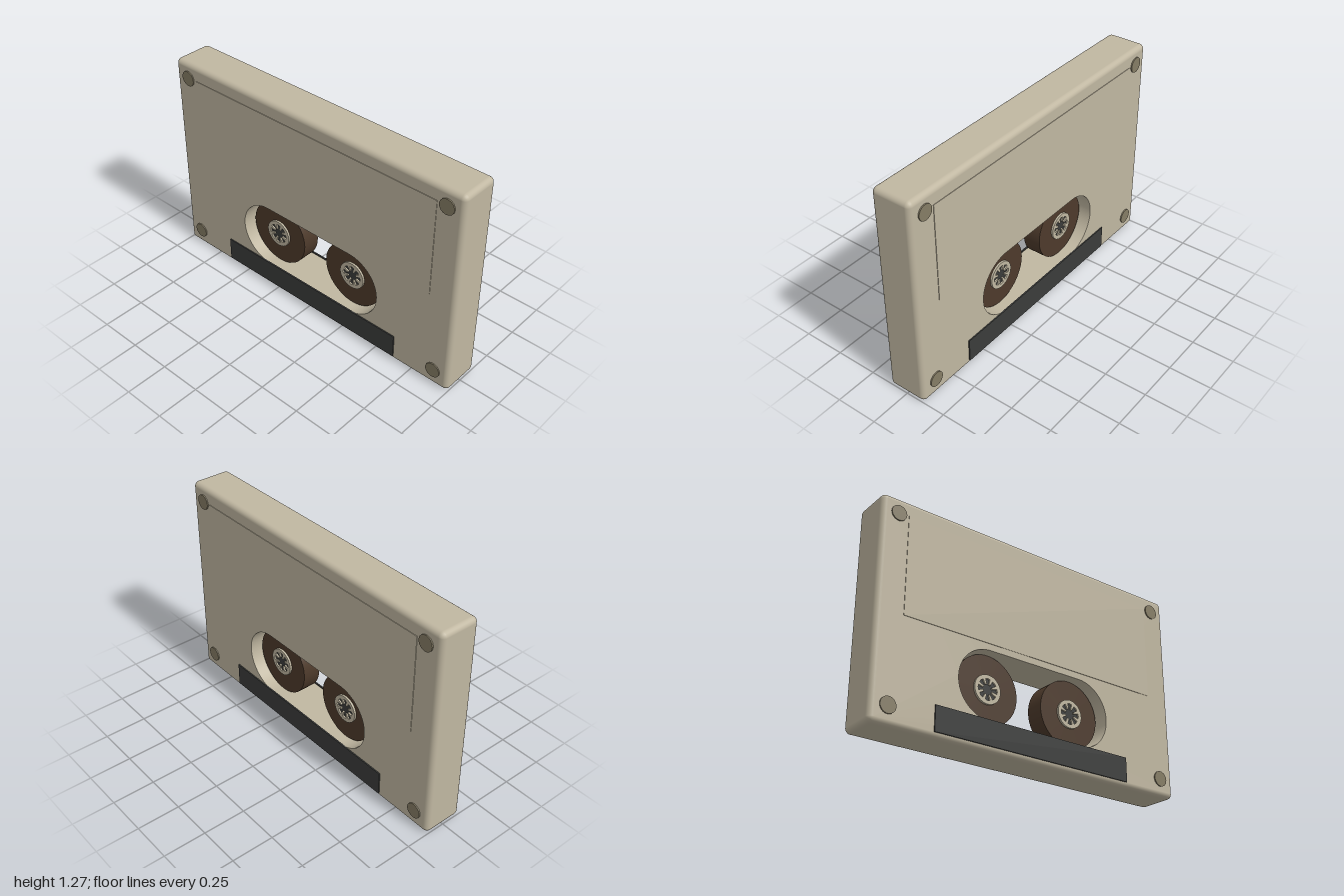
import * as THREE from 'three';

const W = 2, H = 1.27, D = 0.24, R = 0.03;

const mat = (name, color) => new THREE.MeshStandardMaterial({ name, color });

// Rounded edge band: a half-round profile carried around the outline, with ball corners
function rimGeometry() {
  const profile = [], pos = [], nor = [], idx = [], steps = 6;
  for (const s of [1, -1]) {
    for (let i = 0; i <= steps; i++) {
      const a = (s > 0 ? 1 - i / steps : i / steps) * Math.PI / 2;
      profile.push([R * Math.cos(a), s * (D / 2 - R + R * Math.sin(a)), Math.cos(a), s * Math.sin(a)]);
    }
  }
  const outline = [];
  [[1, 1], [-1, 1], [-1, -1], [1, -1]].forEach(([sx, sy], q) => {
    for (let i = 0; i <= steps; i++) {
      const a = (q + i / steps) * Math.PI / 2;
      outline.push([sx * (W / 2 - R), H / 2 + sy * (H / 2 - R), Math.cos(a), Math.sin(a)]);
    }
  });
  const n = outline.length;
  for (const [r, z, nr, nz] of profile) {
    for (const [x, y, c, s] of outline) {
      pos.push(x + r * c, y + r * s, z);
      nor.push(nr * c, nr * s, nz);
    }
  }
  for (let k = 0; k < profile.length - 1; k++) {
    for (let i = 0; i < n; i++) {
      const a = k * n + i, b = k * n + (i + 1) % n;
      idx.push(a, a + n, b, b, a + n, b + n);
    }
  }
  const g = new THREE.BufferGeometry();
  g.setAttribute('position', new THREE.Float32BufferAttribute(pos, 3));
  g.setAttribute('normal', new THREE.Float32BufferAttribute(nor, 3));
  g.setIndex(idx);
  return g;
}

// Extrusion centred on z = 0
function slab(shape, depth, curveSegments = 32) {
  const g = new THREE.ExtrudeGeometry(shape, { depth, bevelEnabled: false, curveSegments });
  return g.translate(0, 0, -depth / 2);
}

// Flat shell panel with the stadium-shaped window cut through
function panelGeometry() {
  const x = W / 2 - R, cy = 0.363, r = 0.199, cx = 0.302;
  const s = new THREE.Shape();
  s.moveTo(-x, R).lineTo(x, R).lineTo(x, H - R).lineTo(-x, H - R).closePath();
  const hole = new THREE.Path();
  hole.absarc(cx, cy, r, Math.PI / 2, -Math.PI / 2, true);
  hole.absarc(-cx, cy, r, -Math.PI / 2, -Math.PI * 1.5, true);
  hole.closePath();
  s.holes.push(hole);
  return slab(s, D);
}

// Hub ring with teeth pointing inwards
function hubGeometry(teeth) {
  const s = new THREE.Shape();
  s.absarc(0, 0, 0.083, 0, Math.PI * 2, false);
  const pts = [];
  const step = Math.PI * 2 / teeth;
  for (let i = 0; i < teeth; i++) {
    for (const [r, f] of [[0.03, -0.22], [0.03, 0.22], [0.06, 0.18], [0.062, 0.5], [0.06, 0.82]]) {
      const a = (i + 0.5 + f) * step;
      pts.push(new THREE.Vector2(r * Math.cos(a), r * Math.sin(a)));
    }
  }
  s.holes.push(new THREE.Path(pts.reverse()));
  return slab(s, 0.134, 24);
}

export function createModel() {
  const shell = mat('shell beige', 0xc0b7a1);
  const tape = mat('tape brown', 0x4d3a2b);
  const dark = mat('charcoal', 0x3b3c3b);
  const screwMat = mat('screw olive', 0x857c65);

  const model = new THREE.Group();
  model.name = 'cassette';
  const add = (name, geo, material, x = 0, y = 0, z = 0, parent = model) => {
    const m = new THREE.Mesh(geo, material);
    m.name = name;
    m.position.set(x, y, z);
    parent.add(m);
    return m;
  };
  const disc = (r, d, seg = 48) => new THREE.CylinderGeometry(r, r, d, seg).rotateX(Math.PI / 2);

  // Shell
  add('shellPanel', panelGeometry(), shell);
  add('shellRim', rimGeometry(), shell);

  // Labels, head strips and screws on both faces
  const screwGeo = disc(0.045, 0.012, 24);
  for (const s of [1, -1]) {
    const side = s > 0 ? 'front' : 'back';
    add(side + 'Label', new THREE.BoxGeometry(1.68, 0.58, 0.004), shell, 0, 0.89, s * 0.121);
    add(side + 'Strip', new THREE.BoxGeometry(1.27, 0.142, 0.009), dark, 0, 0.1, s * 0.1225);
    for (const x of [-0.9, 0.9]) {
      for (const y of [0.102, 1.175]) add(side + 'Screw', screwGeo, screwMat, x, y, s * 0.121);
    }
  }

  // Tape reels with toothed hubs
  for (const s of [1, -1]) {
    const reel = new THREE.Group();
    reel.name = s > 0 ? 'leftReel' : 'rightReel';
    reel.position.set(s * 0.28, 0.365, 0);
    model.add(reel);
    add('tapeRoll', disc(0.198, 0.11, 64), tape, 0, 0, 0, reel);
    add('hubCore', disc(0.07, 0.116), dark, 0, 0, 0, reel);
    add('hubRing', hubGeometry(8), shell, 0, 0, 0, reel);
  }
  return model;
}
